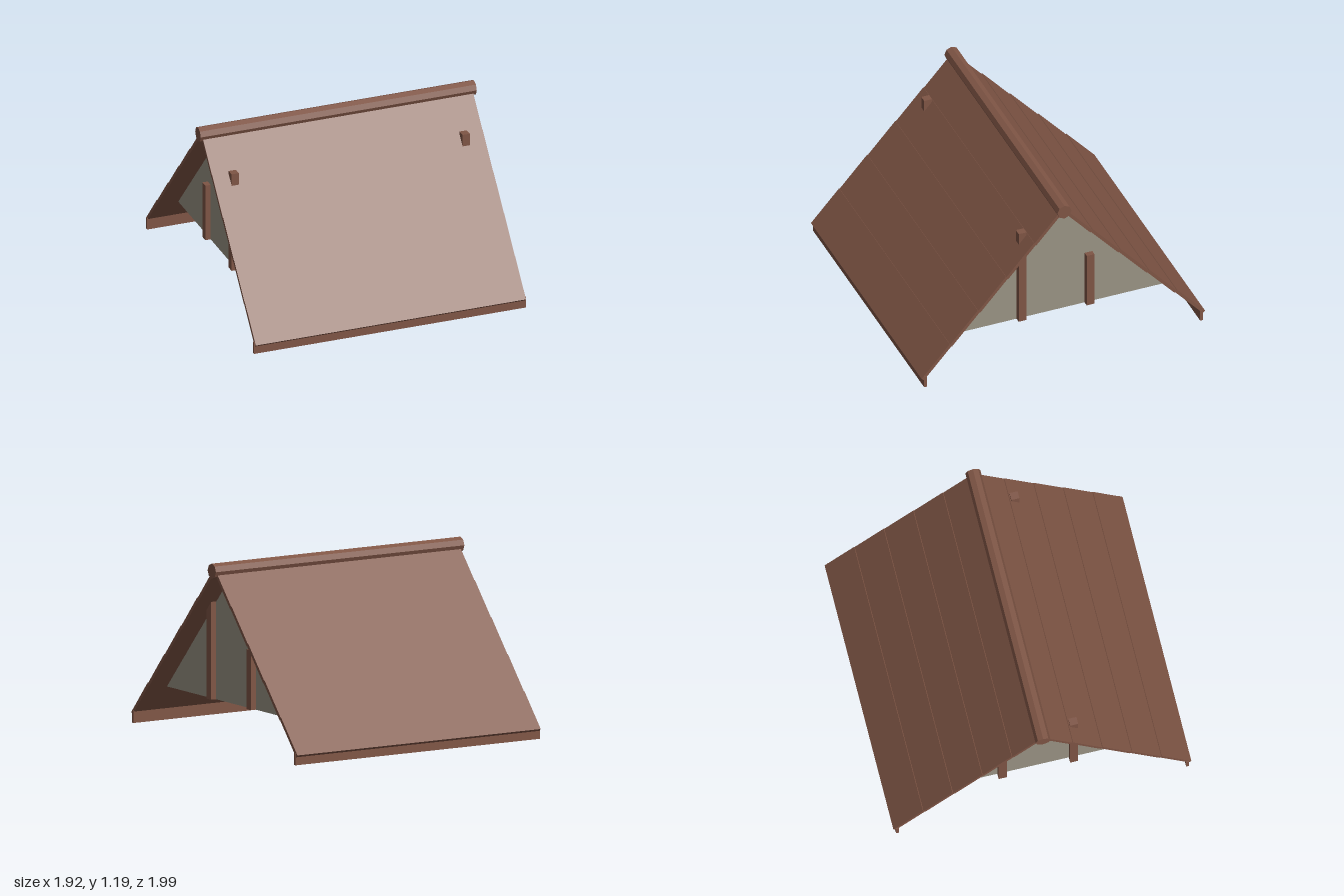
import * as THREE from 'three';

export function createModel() {
  const model = new THREE.Group();
  const wood = new THREE.MeshStandardMaterial({ color: 0x7f5545, flatShading: true });
  wood.name = 'brown wood';
  const plaster = new THREE.MeshStandardMaterial({ color: 0x9a9384, flatShading: true });
  plaster.name = 'grey plaster';

  const add = (name, geometry, material, x = 0, y = 0, z = 0, parent = model) => {
    const mesh = new THREE.Mesh(geometry, material);
    mesh.name = name;
    mesh.position.set(x, y, z);
    parent.add(mesh);
    return mesh;
  };

  // Roof slopes: five long boards each, every one lapping slightly over the next
  const ridgeY = 1.14, eaveY = 0.064, eaveZ = 0.988, courses = 5;
  const slope = Math.atan2(ridgeY - eaveY, eaveZ);
  const length = Math.hypot(ridgeY - eaveY, eaveZ);
  const board = length / courses;
  for (const side of [1, -1]) {
    const roof = new THREE.Group();
    roof.name = side > 0 ? 'frontRoof' : 'backRoof';
    roof.position.y = ridgeY;
    roof.rotation.y = side > 0 ? 0 : Math.PI;
    const pitch = new THREE.Group();
    pitch.name = 'roofPitch';
    pitch.rotation.x = slope;
    roof.add(pitch);
    for (let i = 0; i < courses; i++) {
      const plank = add('roofBoard', new THREE.BoxGeometry(1.88, 0.022, board + 0.006), wood,
        0, 0, board * (i + 0.5), pitch);
      plank.rotation.x = 0.018;
    }
    model.add(roof);

    // Fascia along the eave
    add('eaveBoard', new THREE.BoxGeometry(1.89, 0.08, 0.02), wood, 0, 0.04, side * 0.97);
  }

  // Octagonal ridge beam
  const ridge = add('ridgeBeam', new THREE.CylinderGeometry(0.05, 0.05, 1.92, 8), wood, 0, ridgeY, 0);
  ridge.rotation.z = Math.PI / 2;

  // Gable walls with a tall and a short post on each outer face
  const triangle = new THREE.Shape([
    new THREE.Vector2(-0.8, 0.25), new THREE.Vector2(0.8, 0.25), new THREE.Vector2(0, 1.122),
  ]);
  const gable = new THREE.ExtrudeGeometry(triangle, { depth: 0.125, bevelEnabled: false });
  gable.translate(0, 0, -0.0625).rotateY(Math.PI / 2);
  for (const side of [1, -1]) {
    add(side > 0 ? 'leftGable' : 'rightGable', gable, plaster, side * 0.728, 0, 0);
    add('tallPost', new THREE.BoxGeometry(0.05, 0.7, 0.054), wood, side * 0.803, 0.6, 0.24);
    add('shortPost', new THREE.BoxGeometry(0.05, 0.395, 0.054), wood, side * 0.803, 0.4475, -0.238);
  }
  return model;
}
